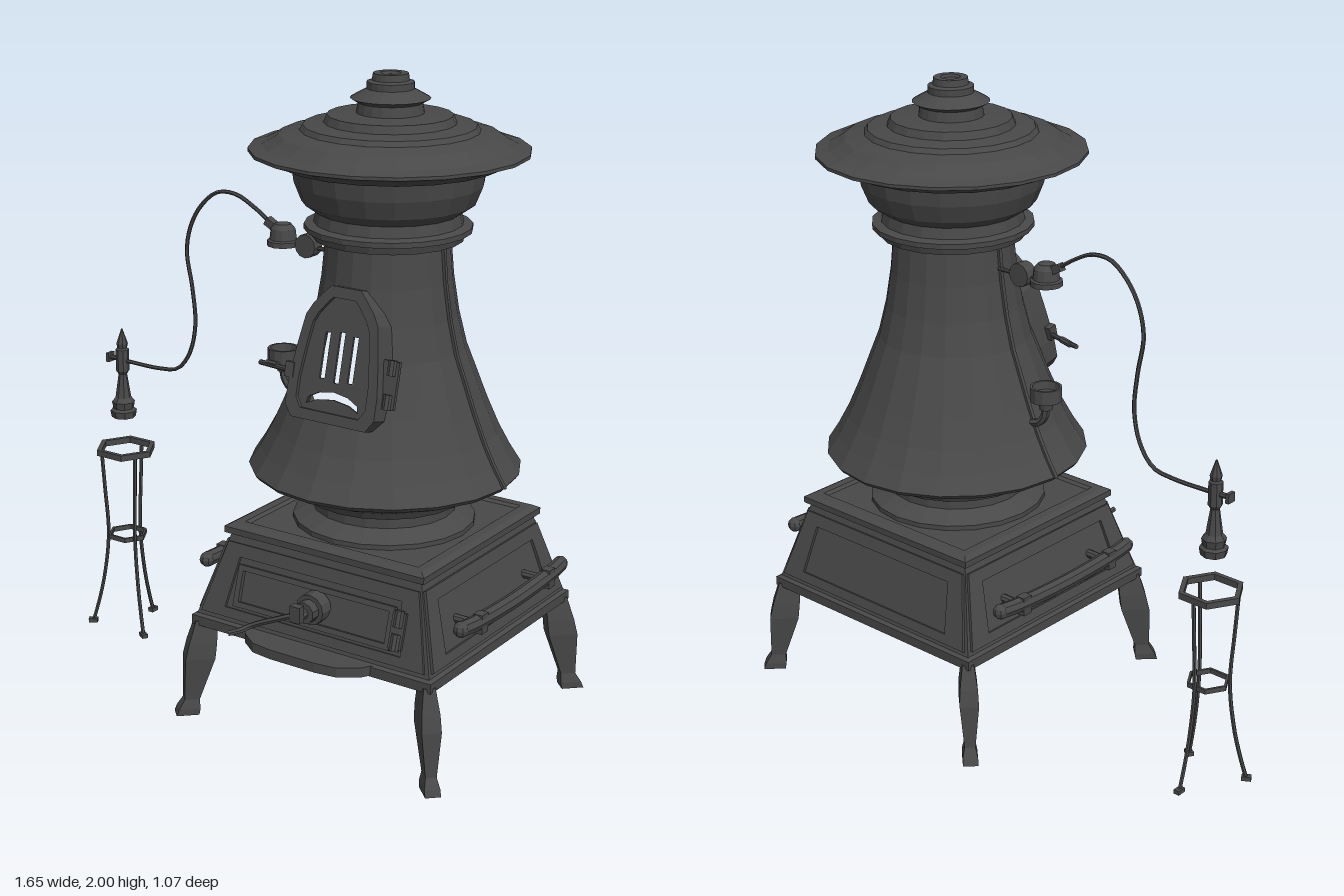
import * as THREE from 'three';

const iron = new THREE.MeshStandardMaterial({ color: 0x484848, flatShading: true });
iron.name = 'cast iron';

const CX = 0.33, CZ = -0.067;
const V = (x, y, z) => new THREE.Vector3(x, y, z);

function add(parent, name, geo, x = 0, y = 0, z = 0) {
  const m = new THREE.Mesh(geo, iron);
  m.name = name;
  m.position.set(x, y, z);
  parent.add(m);
  return m;
}
function group(parent, name, x = 0, y = 0, z = 0) {
  const g = new THREE.Group();
  g.name = name;
  g.position.set(x, y, z);
  parent.add(g);
  return g;
}
// profile points run from bottom to top as [radius, y]
const lathe = (pts, sides, start = 0, sweep = Math.PI * 2) =>
  new THREE.LatheGeometry(pts.map(p => new THREE.Vector2(p[0], p[1])), sides, start, sweep);
const box = (w, h, d) => new THREE.BoxGeometry(w, h, d);
const tube = (pts, r, n = 24, sides = 6) =>
  new THREE.TubeGeometry(new THREE.CatmullRomCurve3(pts), n, r, sides);
const shape = pts => new THREE.Shape(pts.map(p => new THREE.Vector2(p[0], p[1])));
const extrude = (s, depth) => new THREE.ExtrudeGeometry(s, { depth, bevelEnabled: false, curveSegments: 6 });
// straight rod between two points
function rod(parent, name, a, b, r, sides = 8) {
  const m = add(parent, name, new THREE.CylinderGeometry(r, r, a.distanceTo(b), sides));
  m.position.copy(a).add(b).multiplyScalar(0.5);
  m.quaternion.setFromUnitVectors(V(0, 1, 0), b.clone().sub(a).normalize());
  return m;
}
// rectangular cross-sections [y, z, halfWidth, halfDepth], bottom to top
function loft(sections) {
  const pos = [], idx = [];
  for (const [y, z, w, d] of sections) pos.push(-w, y, z + d, w, y, z + d, w, y, z - d, -w, y, z - d);
  for (let s = 0; s < sections.length - 1; s++)
    for (let k = 0; k < 4; k++) {
      const i = s * 4 + k, j = s * 4 + (k + 1) % 4;
      idx.push(i, j, j + 4, i, j + 4, i + 4);
    }
  const t = (sections.length - 1) * 4;
  idx.push(0, 2, 1, 0, 3, 2, t, t + 1, t + 2, t, t + 2, t + 3);
  const g = new THREE.BufferGeometry();
  g.setAttribute('position', new THREE.Float32BufferAttribute(pos, 3));
  g.setIndex(idx);
  g.computeVertexNormals();
  return g;
}

function buildBase(root) {
  const base = group(root, 'base', CX, 0, CZ);
  base.scale.z = 0.97;
  // tapered square firebox, made as a four-sided lathe
  const box4 = [[0, 0.325], [0.41, 0.325], [0.41, 0.312], [0.43, 0.312], [0.43, 0.342], [0.417, 0.348],
    [0.34, 0.602], [0.356, 0.608], [0.356, 0.628], [0.338, 0.638], [0.31, 0.638], [0.3, 0.63], [0, 0.63]];
  add(base, 'firebox', lathe(box4.map(([r, y]) => [r * Math.SQRT2, y]), 4, Math.PI / 4));
  for (let k = 0; k < 4; k++) {
    // raised frame on each sloping wall
    const side = group(base, 'sideWall');
    side.rotation.y = k * Math.PI / 2;
    const panel = group(side, 'panel', 0, 0.47, 0.38);
    panel.rotation.x = -0.293;
    const frame = shape([[-0.4, -0.115], [0.4, -0.115], [0.34, 0.115], [-0.34, 0.115]]);
    frame.holes.push(shape([[-0.315, -0.085], [-0.29, 0.075], [0.29, 0.075], [0.315, -0.085]]));
    add(panel, 'panelFrame', extrude(frame, 0.011), 0, 0, -0.002);
    // splayed leg under each corner
    const leg = group(base, 'legMount');
    leg.rotation.y = Math.PI / 4 + k * Math.PI / 2;
    add(leg, 'leg', loft([[0.01, 0.628, 0.024, 0.036], [0.03, 0.622, 0.024, 0.034], [0.06, 0.613, 0.017, 0.024],
      [0.2, 0.587, 0.03, 0.047], [0.25, 0.578, 0.028, 0.044], [0.325, 0.563, 0.018, 0.035]]));
  }
  // ash door with inner border, knob and hinges
  const door = group(base, 'ashDoor', -0.005, 0.46, 0.383);
  door.rotation.x = -0.293;
  const rim = shape([[-0.28, -0.065], [0.28, -0.065], [0.28, 0.065], [-0.28, 0.065]]);
  rim.holes.push(shape([[-0.262, -0.048], [-0.262, 0.048], [0.262, 0.048], [0.262, -0.048]]));
  add(door, 'doorBorder', extrude(rim, 0.014));
  for (const y of [-0.035, 0.035]) add(door, 'hinge', new THREE.CylinderGeometry(0.015, 0.015, 0.05, 8), 0.3, y, 0.018);
  add(door, 'hingePlate', box(0.045, 0.11, 0.02), 0.3, 0, 0.008);
  // hearth lip in front
  const lip = shape([[-0.23, 0], [-0.21, 0.035], [-0.15, 0.08], [-0.08, 0.09], [0.08, 0.09],
    [0.15, 0.08], [0.21, 0.035], [0.23, 0]].reverse());
  add(base, 'hearthLip', extrude(lip, 0.03), 0, 0.345, 0.42).rotation.x = Math.PI / 2;

  // crank handle
  const crank = group(root, 'crank', 0.335, 0.465, 0);
  rod(crank, 'crankDisc', V(0, 0, 0.3), V(0, 0, 0.345), 0.048, 12);
  rod(crank, 'crankHub', V(0, 0, 0.34), V(0, 0, 0.375), 0.034, 10);
  rod(crank, 'crankShaft', V(0, 0, 0.37), V(0, 0, 0.42), 0.016);
  add(crank, 'crankBoss', box(0.035, 0.05, 0.025), 0, 0.012, 0.41);
  add(crank, 'crankArm', tube([V(0, 0.01, 0.41), V(-0.05, -0.012, 0.418), V(-0.12, -0.042, 0.428),
    V(-0.155, -0.06, 0.435), V(-0.17, -0.068, 0.455), V(-0.172, -0.055, 0.525)], 0.009));

  // side rails
  for (const s of [-1, 1]) {
    const rail = group(root, 'sideRail', CX, 0, CZ);
    add(rail, 'railBar', tube([V(s * 0.457, 0.479, -0.3), V(s * 0.461, 0.474, -0.24), V(s * 0.464, 0.467, 0),
      V(s * 0.461, 0.474, 0.24), V(s * 0.457, 0.479, 0.3)], 0.024, 12, 8));
    for (const z of [-0.3, 0.3])
      add(rail, 'railEnd', new THREE.SphereGeometry(0.024, 8, 6), s * 0.457, 0.479, z);
    for (const z of [-0.203, 0.203]) {
      rod(rail, 'railBracket', V(s * 0.36, 0.46, z), V(s * 0.455, 0.46, z), 0.014);
      add(rail, 'railClamp', box(0.03, 0.06, 0.035), s * 0.466, 0.468, z);
    }
  }
}

const lowerBody = [[0.415, 0.81], [0.38, 0.865], [0.345, 0.93], [0.31, 1.01], [0.296, 1.045]];
const middleBody = [[0.296, 1.045], [0.275, 1.1], [0.24, 1.19], [0.215, 1.29]];
const upperBody = [[0.215, 1.29], [0.197, 1.4], [0.187, 1.51]];

function buildBody(root) {
  const body = group(root, 'body', CX, 0, CZ);
  add(body, 'pedestal', lathe([[0.28, 0.63], [0.28, 0.645], [0.25, 0.66], [0.22, 0.675], [0.22, 0.705],
    [0.25, 0.715], [0.262, 0.738], [0.405, 0.797], [0.415, 0.81]], 20));
  // flared body, open at the front behind the window door
  add(body, 'lowerBody', lathe(lowerBody, 20));
  add(body, 'middleBody', lathe(middleBody, 18, Math.PI / 10, Math.PI * 1.8));
  add(body, 'upperBody', lathe(upperBody, 20));
  add(body, 'collar', lathe([[0.187, 1.51], [0.225, 1.515], [0.23, 1.535], [0.25, 1.54], [0.25, 1.556],
    [0.222, 1.562], [0.215, 1.595], [0.258, 1.625], [0.28, 1.68], [0.288, 1.735], [0.325, 1.738]], 20));
  add(body, 'lid', lathe([[0.28, 1.735], [0.33, 1.738], [0.365, 1.755], [0.415, 1.772], [0.415, 1.782],
    [0.375, 1.792], [0.345, 1.808], [0.325, 1.822], [0.265, 1.835], [0.255, 1.85], [0.195, 1.857], [0.185, 1.88],
    [0.1, 1.885], [0.095, 1.915], [0.118, 1.928], [0.07, 1.955], [0.07, 1.975], [0.055, 1.98],
    [0.052, 2], [0.03, 2], [0.026, 1.992], [0, 1.992]], 20));
  // vertical seams on both sides
  const seamPath = [...lowerBody, ...middleBody.slice(1), ...upperBody.slice(1)];
  for (const s of [-1, 1]) {
    const seam = group(body, 'seamMount');
    seam.rotation.y = s * Math.PI / 2;
    add(seam, 'seam', loft(seamPath.map(([r, y]) => [y, r, 0.006, 0.008])));
  }
}

function buildWindowDoor(root) {
  const door = group(root, 'windowDoor', CX, 1.02, 0.238);
  door.rotation.x = -0.24;
  const half = [[0.13, -0.005], [0.155, 0.03], [0.155, 0.1], [0.142, 0.2], [0.132, 0.26], [0.125, 0.3],
    [0.105, 0.335], [0.07, 0.375], [0.05, 0.395]];
  const outline = [...half, ...half.map(([x, y]) => [-x, y]).reverse()];
  const inner = outline.map(([x, y]) => [x * 0.78, 0.19 + (y - 0.19) * 0.84]);
  const frame = shape(outline);
  frame.holes.push(shape(inner.slice().reverse()));
  add(door, 'doorFrame', extrude(frame, 0.092), 0, 0, -0.08);
  // thin plate pierced by three slots and a crescent
  const plate = shape(inner);
  for (const [x, h] of [[-0.047, 0.068], [0.003, 0.075], [0.05, 0.068]])
    plate.holes.push(shape([[x - 0.009, 0.19 - h], [x - 0.009, 0.19 + h], [x + 0.009, 0.19 + h], [x + 0.009, 0.19 - h]]));
  plate.holes.push(shape([[-0.09, 0.042], [-0.055, 0.058], [0, 0.066], [0.055, 0.058], [0.09, 0.042],
    [0.085, 0.062], [0.05, 0.08], [0, 0.088], [-0.05, 0.08], [-0.085, 0.062]]));
  add(door, 'doorPlate', extrude(plate, 0.008), 0, 0, -0.008);
  // hinges and latch
  for (const y of [0.09, 0.19]) add(door, 'hinge', new THREE.CylinderGeometry(0.014, 0.014, 0.045, 8), 0.172, y, -0.02);
  add(door, 'hingePlate', box(0.06, 0.14, 0.012), 0.165, 0.14, -0.025);
  rod(door, 'latchBar', V(-0.13, 0.125, 0), V(-0.29, 0.128, -0.03), 0.008);
  rod(door, 'latchGrip', V(-0.22, 0.13, -0.02), V(-0.265, 0.13, -0.03), 0.011);
  add(door, 'latchCatch', box(0.03, 0.045, 0.03), -0.155, 0.13, 0);
}

function buildFittings(root) {
  const z = -0.07;
  // upper wall fitting with disc and bell cap
  rod(root, 'upperArm', V(0.16, 1.44, z), V(0, 1.44, z), 0.007);
  rod(root, 'upperDisc', V(0.042, 1.445, z - 0.02), V(0.042, 1.445, z + 0.02), 0.037, 12);
  add(root, 'bellCap', lathe([[0, 1.432], [0.05, 1.432], [0.05, 1.448], [0.042, 1.452], [0.038, 1.485],
    [0.025, 1.5], [0, 1.503]], 12), -0.052, 0, z);
  add(root, 'capNozzle', box(0.05, 0.025, 0.025), -0.09, 1.49, z).rotation.z = -0.5;
  // lower cup on a bent arm
  add(root, 'lowerCup', lathe([[0, 1.03], [0.02, 1.03], [0.024, 1.055], [0.05, 1.06], [0.05, 1.105], [0.042, 1.105],
    [0.038, 1.08], [0, 1.08]], 12), -0.05, 0, z);
  add(root, 'cupArm', tube([V(-0.05, 1.05, z), V(-0.047, 1.01, z), V(-0.025, 0.98, z), V(0.01, 0.97, z), V(0.06, 0.968, z)], 0.013, 12));
  // hanging hose
  add(root, 'hose', tube([[-0.09, 1.49], [-0.16, 1.535], [-0.23, 1.567], [-0.3, 1.565], [-0.36, 1.52], [-0.405, 1.45],
    [-0.425, 1.36], [-0.405, 1.24], [-0.395, 1.12], [-0.42, 1.02], [-0.47, 0.96], [-0.54, 0.947], [-0.69, 0.947]]
    .map(([x, y]) => V(x, y, z)), 0.0065, 48));
  // nozzle
  const nozzle = group(root, 'nozzle', -0.7, 0, z);
  add(nozzle, 'nozzleBody', lathe([[0, 0.752], [0.04, 0.752], [0.044, 0.775], [0.034, 0.782], [0.038, 0.805], [0.026, 0.82],
    [0.014, 0.9], [0.022, 0.912], [0.022, 0.985], [0.016, 0.99], [0.019, 1.005], [0.002, 1.055]], 8));
  rod(nozzle, 'valveStem', V(0, 0.95, 0), V(-0.05, 0.95, 0), 0.009);
  add(nozzle, 'valveKnob', box(0.012, 0.03, 0.03), -0.052, 0.95, 0);

  // tripod stand with hexagonal rings
  const stand = group(root, 'tripod', -0.7, 0, -0.077);
  const ring = (name, r, t, y, h) => add(stand, name,
    lathe([[r - t, y], [r, y], [r, y + h], [r - t, y + h], [r - t, y]], 6, Math.PI / 2));
  ring('topRing', 0.103, 0.017, 0.625, 0.02);
  ring('middleRing', 0.068, 0.008, 0.322, 0.016);
  for (let k = 0; k < 3; k++) {
    const leg = group(stand, 'tripodLegMount');
    leg.rotation.y = Math.PI / 3 + k * Math.PI * 2 / 3;
    add(leg, 'tripodLeg', tube([V(0, 0.63, 0.083), V(0, 0.5, 0.075), V(0, 0.33, 0.066), V(0, 0.18, 0.083), V(0, 0.08, 0.105), V(0, 0.01, 0.125)], 0.0065, 16));
    add(leg, 'tripodFoot', box(0.02, 0.014, 0.03), 0, 0.007, 0.127);
  }
}

export function createModel() {
  const root = new THREE.Group();
  root.name = 'stove';
  buildBase(root);
  buildBody(root);
  buildWindowDoor(root);
  buildFittings(root);
  return root;
}
